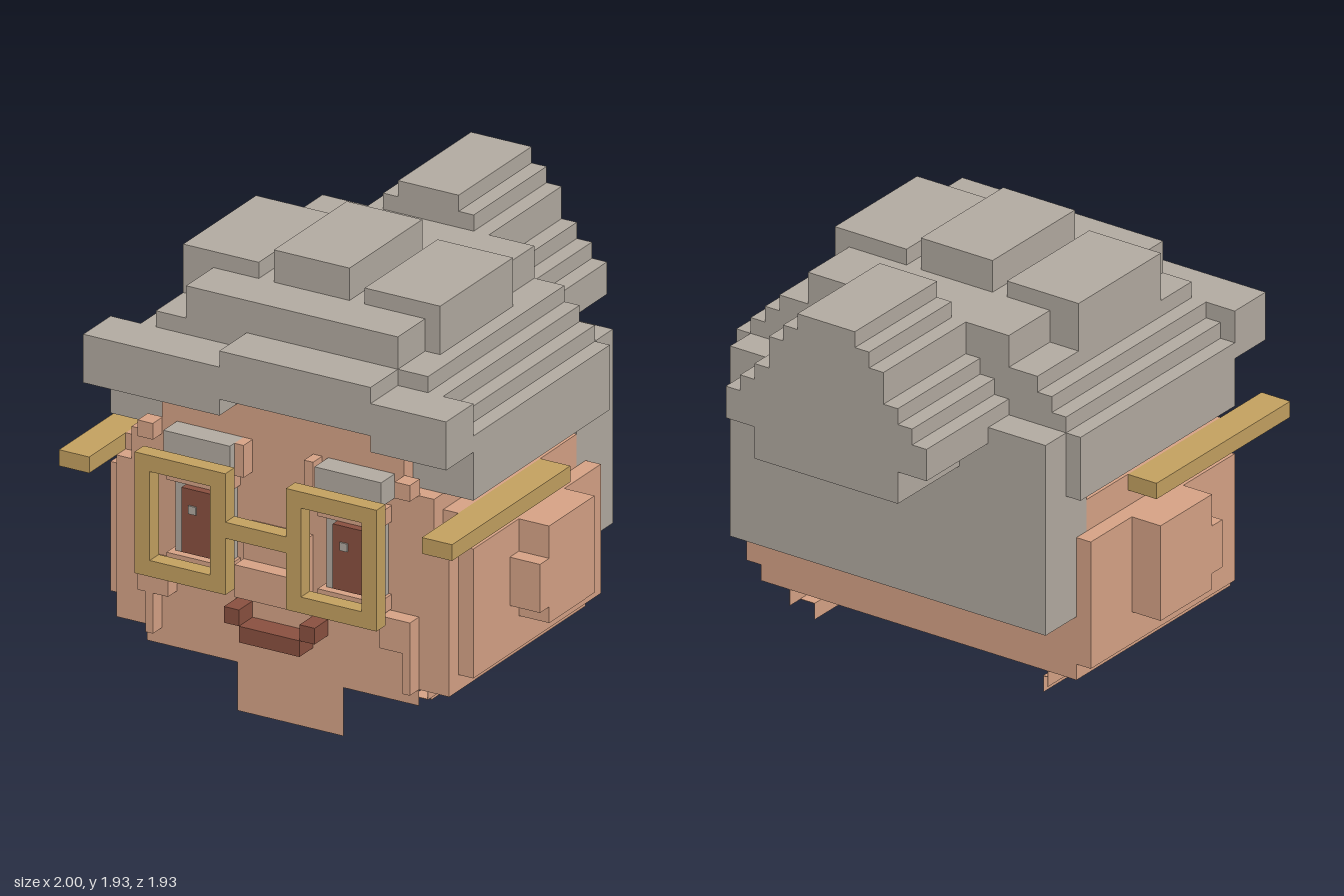
import * as THREE from 'three';

const U = 1 / 14; // size of one block

export function createModel() {
  const model = new THREE.Group();
  model.name = 'blockHead';
  const material = (name, color) => {
    const m = new THREE.MeshStandardMaterial({ color });
    m.name = name;
    return m;
  };
  const skin = material('skin', 0xd8a487);
  const hair = material('greyHair', 0xb4aca2);
  const gold = material('goldFrame', 0xc5a261);
  const brown = material('darkBrown', 0x8b5140);

  // Box given by its limits in blocks
  const box = (name, mat, x0, x1, y0, y1, z0, z1) => {
    const g = new THREE.BoxGeometry((x1 - x0) * U, (y1 - y0) * U, (z1 - z0) * U);
    g.translate((x0 + x1) / 2 * U, (y0 + y1) / 2 * U, (z0 + z1) / 2 * U);
    const mesh = new THREE.Mesh(g, mat);
    mesh.name = name;
    model.add(mesh);
  };
  // Same box on both sides
  const pair = (name, mat, x0, x1, ...rest) => {
    box(name + 'Left', mat, x0, x1, ...rest);
    box(name + 'Right', mat, -x1, -x0, ...rest);
  };
  const T = 0.03; // thickness of the hollow head's walls

  // Hollow head: sides, back and stepped open underside
  pair('headSide', skin, 12 - T, 12, 5, 13, -4.5, 9.5);
  pair('headSideTop', skin, 10, 12, 13 - T, 13, -4.5, 9.5);
  pair('headShoulder', skin, 10, 11, 13, 15, -3.5, 9.5);
  pair('temple', skin, 9, 10, 13, 16, -3.5, 9.5);
  box('headBack', skin, -12, 12, 5, 13, -4.5, -4.5 + T);
  box('headBackLower', skin, -11, 11, 4, 5, -4.5, -4.5 + T);
  pair('jawLedge', skin, 11 - T, 12, 5, 5 + T, -4.5, 9.5);
  pair('jawSide', skin, 11 - T, 11, 4, 5, -4.5, 10.5);
  pair('chinLedge', skin, 9 - T, 11, 4, 4 + T, -4.5, 10.5);
  pair('chinSide', skin, 9 - T, 9, 3, 4, -4.5, 9.5);
  pair('throatLedge', skin, 8 - T, 9, 3, 3 + T, -3.5, 9.5);
  pair('throatSide', skin, 8 - T, 8, 2, 3, -3.5, 7.5);

  // Face
  pair('cheekEdge', skin, 11, 12, 5, 13, 9.5 - T, 9.5);
  pair('cheekStep', skin, 11 - T, 11, 5, 13, 9.4, 10.5);
  box('chinFront', skin, -9, 9, 3, 4, 10.5 - T, 10.5);
  box('face', skin, -11, 11, 4, 13, 10.5 - T, 10.5);
  box('neckFront', skin, -3, 4, 0, 3, 10.5 - T, 10.5);
  box('upperFaceLow', skin, -11, 11, 13, 14, 9.5, 10.5);
  box('upperFace', skin, -10, 10, 14, 16, 9.5, 10.5);
  box('forehead', skin, -8, 8, 16, 20, 9.4, 10.5);
  pair('browOuter', skin, 8, 9, 16, 17, 10.4, 11.5);
  pair('browInner', skin, 2, 2.6, 15, 17, 10.4, 11.5);
  box('nose', skin, -2, 2, 8, 10, 10.5, 12.5);
  box('noseBridge', skin, -2, 2, 10, 12, 10.5, 11.5);

  // Raised cheeks with a thin fold running down to the jaw
  pair('cheek', skin, 7, 9, 6.5, 8.5, 10.5, 11.5);
  box('cheekFoldLeft', skin, 8.5, 9, 4, 6.5, 10.5, 11.5);
  box('cheekFoldRight', skin, -8.5, -8, 4, 6.5, 10.5, 11.5);

  // Ears
  pair('ear', skin, 12, 14, 7, 13, -0.5, 4.5);
  pair('earFront', skin, 12, 14, 8, 11, 4.5, 5.5);

  // Eyes, shifted half a block from mirrored positions
  for (const [side, x, browX] of [['Left', 3.5, 3], ['Right', -6.5, -7]]) {
    const iris = x + 1;
    box('eyeWhite' + side, hair, x, x + 3.5, 9.5, 14, 10.5, 11.5);
    box('iris' + side, brown, iris, iris + 2, 10, 14, 11.5, 12.5);
    box('glint' + side, hair, iris + 0.5, iris + 1, 12.5, 13, 12.5, 12.6);
    box('upperLid' + side, skin, x - 0.3, x + 3.7, 14, 15, 10.5, 12);
    box('lowerLid' + side, skin, x - 0.3, x + 3.7, 8.6, 9.5, 10.5, 12);
    box('eyebrow' + side, hair, browX, browX + 4.4, 15.5, 17, 10.5, 12);
  }

  // Mouth
  box('mouth', brown, -2, 2, 5, 6, 10.5, 12);
  pair('mouthCorner', brown, 2, 3, 6, 7, 10.5, 12);

  // Glasses
  pair('frameTop', gold, 2, 8, 15, 16, 12.5, 13.5);
  pair('frameBottom', gold, 2, 8, 8.5, 9.5, 12.5, 13.5);
  pair('frameInner', gold, 2, 3, 9.5, 15, 12.5, 13.5);
  pair('frameOuter', gold, 7, 8, 9.5, 15, 12.5, 13.5);
  box('frameBridge', gold, -2, 2, 12, 13, 12.5, 13.5);
  pair('templeArm', gold, 11, 13, 14, 15, 0.5, 13.5);

  // Hair cap, narrowing in steps
  pair('sideHair', hair, 8, 12, 16, 19, -5.5, 9.5);
  const cap = [[12, 19, 20], [11, 20, 21], [10, 21, 22], [9, 22, 23], [7, 23, 25]];
  for (const [w, y0, y1] of cap) box('hairCap', hair, -w, w, y0, y1, -5.5, 9.5);
  box('fringeRight', hair, -12, -3, 19, 22, 9.5, 12.5);
  box('fringeMiddle', hair, -3, 7, 20, 23, 9.5, 12.5);
  box('fringeLeft', hair, 7, 12, 19, 22, 9.5, 12.5);
  box('topTuftRight', hair, -9, -4, 23, 26, -1.5, 6.5);
  box('topTuftMiddle', hair, -3, 2, 25, 27, -1.5, 6.5);
  box('topTuftLeft', hair, 3, 8, 23, 26, -1.5, 6.5);

  // Hair at the back of the head
  box('backHair', hair, -11, 11, 8, 20, -7.5, -4.5);
  pair('backHairEdge', hair, 10, 11, 13, 16, -4.5, -3.5);
  box('backHairUpper', hair, -11, 11, 16, 19, -5.5, -3.5);

  // Bun, rounded in steps
  const bun = [[5, 17, 19], [7, 19, 21], [6, 21, 22], [5, 22, 23], [4, 23, 25], [3, 25, 26], [2, 26, 27]];
  for (const [w, y0, y1] of bun) box('bun', hair, -w, w, y0, y1, -13.5, -5.5);

  return model;
}
